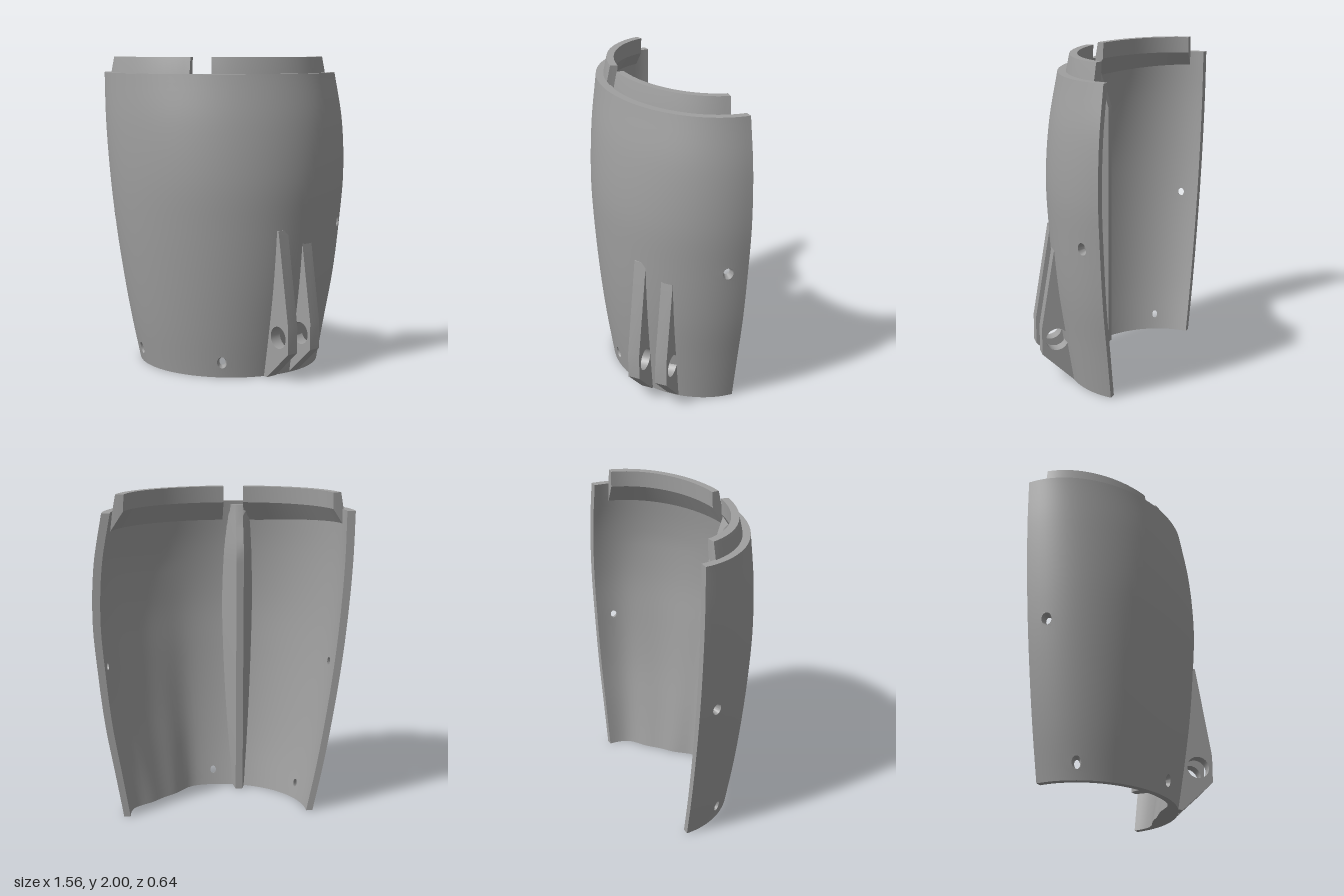
import * as THREE from 'three';
import { mergeGeometries, mergeVertices, toCreasedNormals } from 'three/addons/utils/BufferGeometryUtils.js';

const COLS = 48, ROWS = 38, TOP = 1.9, BACK = -0.32;

// shell outline by height: right x, left x, front z
const outline = new THREE.CubicInterpolant(
  [0, 0.3, 0.6, 0.95, 1.25, 1.6, 1.9],
  [0.62, 0.57, 0.2, 0.67, 0.63, 0.245, 0.72, 0.68, 0.28, 0.757, 0.728, 0.307,
    0.778, 0.758, 0.318, 0.762, 0.78, 0.296, 0.71, 0.785, 0.25], 3, new Float32Array(3));

// point on the half-elliptic wall, moved inwards by t
function wallPoint(col, row, t) {
  const y = row / ROWS * TOP, th = col / COLS * Math.PI;
  const [r, l, f] = outline.evaluate(y);
  return new THREE.Vector3((r - l) / 2 + ((r + l) / 2 - t) * Math.cos(th), y, BACK + (f - BACK - t) * Math.sin(th));
}
const outer = (c, r) => wallPoint(c, r, 0);
function inner(c, r) {
  // wall is thicker behind the bracket, fading upwards
  const d = (c / COLS - 0.25) * Math.PI / 0.42;
  const bump = 0.08 * Math.exp(-(d ** 4)) * Math.max(0, 1 - r / 30);
  return wallPoint(c, r, 0.04 + 0.01 * r / ROWS + bump);
}

function fromPoints(points) {
  return new THREE.BufferGeometry().setFromPoints(points);
}

// strip between two paths given as functions of 0..1
function ribbon(p, q, n) {
  const pts = [];
  for (let i = 0; i < n; i++) {
    const a = i / n, b = (i + 1) / n;
    pts.push(p(a), p(b), q(a), p(b), q(b), q(a));
  }
  return fromPoints(pts);
}

// closed loops joined into a capped solid
function loft(loops) {
  const pts = [], n = loops[0].length;
  for (let i = 0; i + 1 < loops.length; i++) {
    const A = loops[i], B = loops[i + 1];
    for (let k = 0; k < n; k++) {
      const m = (k + 1) % n;
      pts.push(A[k], B[k], A[m], A[m], B[k], B[m]);
    }
  }
  const E = loops[loops.length - 1], S = loops[0];
  for (let k = 1; k + 1 < n; k++) pts.push(S[0], S[k], S[k + 1], E[0], E[k + 1], E[k]);
  return toCreasedNormals(fromPoints(pts), 0.5);
}

// screw holes, each centred on a grid point: column, row
const holes = [[24, 2], [41, 2], [3, 19], [45, 19]];
const HOLE_OUT = 0.76, HOLE_IN = 0.5;

// curved skin with round openings
function skin(map, radius, flip) {
  const flat = [];
  const inHole = (c, r) => holes.some(([hc, hr]) => c >= hc - 1 && c <= hc && r >= hr - 1 && r <= hr);
  for (let c = 0; c < COLS; c++) {
    for (let r = 0; r < ROWS; r++) {
      if (!inHole(c, r)) flat.push([c, r], [c + 1, r], [c + 1, r + 1], [c, r], [c + 1, r + 1], [c, r + 1]);
    }
  }
  for (const [hc, hr] of holes) {
    const s = new THREE.Shape();
    for (const [i, j] of [[-1, -1], [0, -1], [1, -1], [1, 0], [1, 1], [0, 1], [-1, 1], [-1, 0]]) {
      if (i === -1 && j === -1) s.moveTo(hc + i, hr + j); else s.lineTo(hc + i, hr + j);
    }
    s.closePath();
    s.holes.push(new THREE.Path().absarc(hc, hr, radius, 0, Math.PI * 2, true));
    const p = new THREE.ShapeGeometry(s, 12).toNonIndexed().attributes.position;
    for (let i = 0; i < p.count; i++) flat.push([p.getX(i), p.getY(i)]);
  }
  const pts = flat.map(([c, r]) => map(c, r));
  if (flip) for (let i = 0; i < pts.length; i += 3) [pts[i], pts[i + 1]] = [pts[i + 1], pts[i]];
  const g = mergeVertices(fromPoints(pts), 1e-4);
  g.computeVertexNormals();
  return g;
}

function shellEdges() {
  const up = (map, c) => (t) => map(c, t * ROWS);
  const round = (map, r) => (t) => map(t * COLS, r);
  const parts = [
    ribbon(up(inner, 0), up(outer, 0), ROWS),
    ribbon(up(outer, COLS), up(inner, COLS), ROWS),
    ribbon(round(inner, ROWS), round(outer, ROWS), COLS),
    ribbon(round(outer, 0), round(inner, 0), COLS),
  ];
  for (const [c, r] of holes) {
    const ring = (map, rad) => (t) => map(c + rad * Math.cos(t * Math.PI * 2), r + rad * Math.sin(t * Math.PI * 2));
    parts.push(ribbon(ring(inner, HOLE_IN), ring(outer, HOLE_OUT), 24));
  }
  return toCreasedNormals(mergeGeometries(parts), 0.5);
}

// stepped collar inside the rim, from one angle to another (degrees)
function collar(from, to) {
  const profile = [[0.68, 0.5, 2], [0.7, 0.522, 1.895], [0.715, 0.535, 1.78], [0.635, 0.46, 1.9], [0.63, 0.455, 2]];
  const loops = [];
  for (let i = 0; i <= 20; i++) {
    const th = THREE.MathUtils.degToRad(from + (to - from) * i / 20);
    loops.push(profile.map(([a, b, y]) => new THREE.Vector3(-0.042 + a * Math.cos(th), y, BACK + b * Math.sin(th))));
  }
  return loft(loops);
}

// upright rib inside, flaring out towards the wall
function rib() {
  const loops = [];
  for (let i = 0; i <= 24; i++) {
    const y = i < 20 ? i * 0.08 : 1.6 + (i - 20) * 0.07;
    const f = outline.evaluate(y)[2];
    const tip = 0.07 + Math.max(0, y - 1.6) * 0.36;
    const h = 0.023 + 0.55 * Math.max(0, f - 0.17);
    loops.push([[-0.142 - h, f - 0.06], [-0.165, tip], [-0.119, tip], [-0.142 + h, f - 0.03]]
      .map(([x, z]) => new THREE.Vector3(x, y, z)));
  }
  return loft(loops);
}

// tapered bracket fin with a pivot hole
function fin(offset) {
  const s = new THREE.Shape([[0.29, 0], [0.33, 0], [0.528, 0.19], [0.528, 0.36], [0.43, 0.95], [0.38, 0.95]]
    .map(([u, y]) => new THREE.Vector2(u, y)));
  s.holes.push(new THREE.Path().absarc(0.435, 0.28, 0.07, 0, Math.PI * 2, true));
  const g = new THREE.ExtrudeGeometry(s, { depth: 0.075, bevelEnabled: false, curveSegments: 16 });
  return toCreasedNormals(g.translate(0, 0, -offset - 0.0375), 0.5);
}

export function createModel() {
  const model = new THREE.Group();
  model.name = 'halfShellCover';
  const grey = new THREE.MeshStandardMaterial({ color: 0xa0a0a0 });
  grey.name = 'plainGrey';
  const add = (name, geometry, parent = model) => {
    const mesh = new THREE.Mesh(geometry, grey);
    mesh.name = name;
    parent.add(mesh);
  };

  add('outerWall', skin(outer, HOLE_OUT, true));
  add('innerWall', skin(inner, HOLE_IN, false));
  add('wallEdges', shellEdges());
  add('leftCollar', collar(10, 90));
  add('rightCollar', collar(101, 170));
  add('innerRib', rib());

  const bracket = new THREE.Group();
  bracket.name = 'bracket';
  bracket.rotation.y = -0.835;
  add('frontFin', fin(0.15), bracket);
  add('sideFin', fin(0.333), bracket);
  model.add(bracket);
  return model;
}
